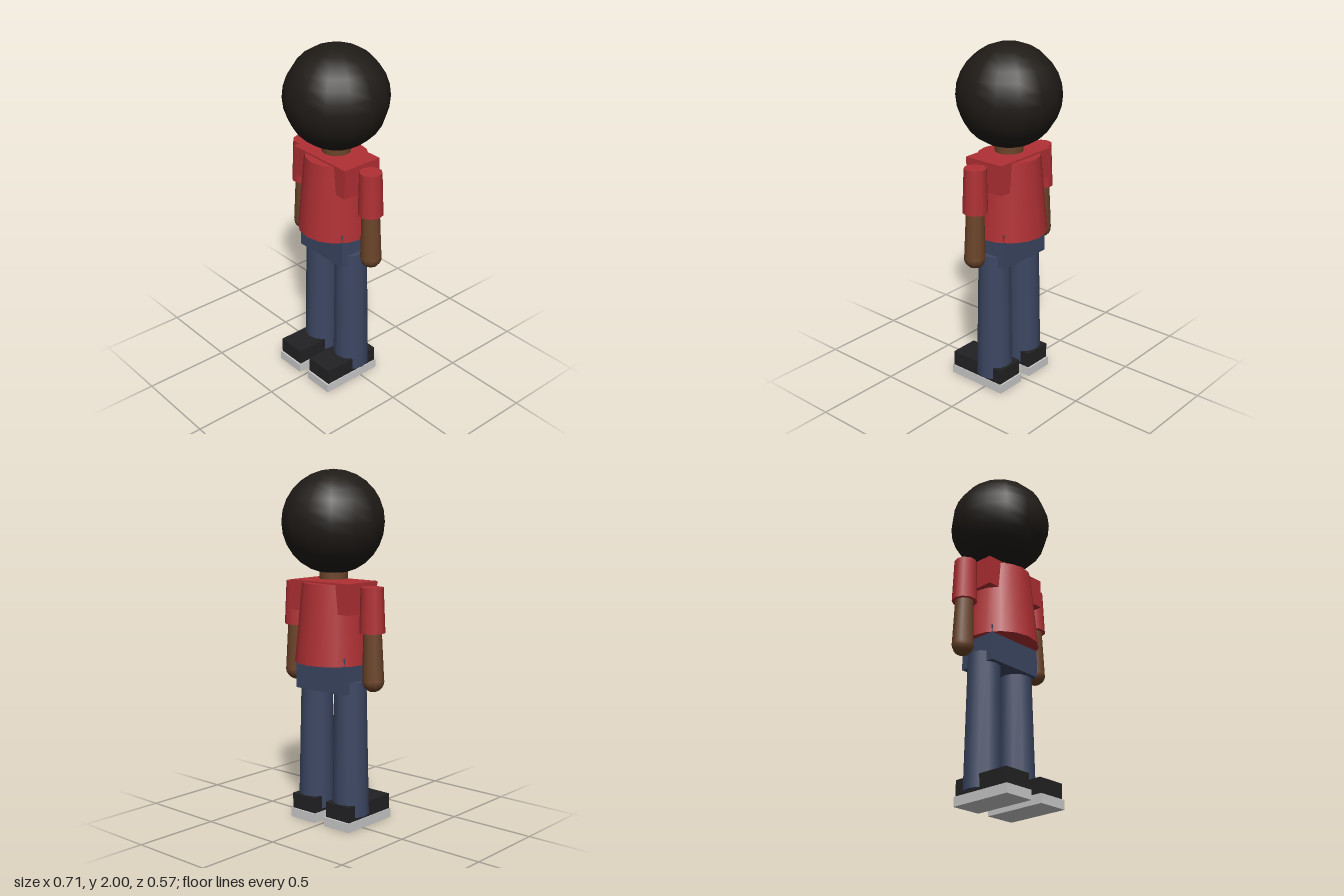
import * as THREE from 'three';

const mat = (color) => new THREE.MeshStandardMaterial({ color });

export function createModel() {
  const model = new THREE.Group();
  model.name = 'figure';

  const hairMat = mat(0x1f1b17);
  const skinMat = mat(0x6b4429);
  const shirtMat = mat(0xb03034);
  const jeansMat = mat(0x3c4763);
  const shoeMat = mat(0x222224);
  const soleMat = mat(0xcccccc);

  function add(name, geometry, material, x = 0, y = 0, z = 0) {
    const mesh = new THREE.Mesh(geometry, material);
    mesh.name = name;
    mesh.position.set(x, y, z);
    model.add(mesh);
    return mesh;
  }

  // box given by its vertical and depth ranges
  function box(name, material, x, width, y0, y1, z0, z1) {
    const g = new THREE.BoxGeometry(width, y1 - y0, z1 - z0);
    return add(name, g, material, x, (y0 + y1) / 2, (z0 + z1) / 2);
  }

  // tapered limb from a top point to a bottom point, with a corner on the x axis
  function limb(name, material, top, bottom, rTop, rBottom, sides) {
    const a = new THREE.Vector3(...top, 0);
    const b = new THREE.Vector3(...bottom, 0);
    const dir = a.clone().sub(b);
    const g = new THREE.CylinderGeometry(rTop, rBottom, dir.length(), sides);
    g.rotateY(Math.PI / 2);
    const mesh = add(name, g, material);
    mesh.position.copy(a.add(b).multiplyScalar(0.5));
    mesh.quaternion.setFromUnitVectors(new THREE.Vector3(0, 1, 0), dir.normalize());
    return mesh;
  }

  // head and neck
  const hair = add('hair', new THREE.SphereGeometry(0.29, 14, 14), hairMat, 0, 1.713, 0);
  hair.scale.y = 0.99;
  limb('neck', skinMat, [0, 1.52], [0, 1.4], 0.08, 0.081, 12);

  // shirt body, shoulder yoke and hips
  limb('shirt', shirtMat, [0, 1.38], [0, 0.935], 0.176, 0.217, 16);
  box('shoulders', shirtMat, 0, 0.424, 1.22, 1.39, -0.125, 0.125);
  box('hips', jeansMat, 0, 0.36, 0.775, 0.98, -0.115, 0.115);

  for (const [side, s] of [['left', 1], ['right', -1]]) {
    // arm
    limb(side + 'Sleeve', shirtMat, [s * 0.278, 1.37], [s * 0.282, 1.12], 0.063, 0.071, 10);
    limb(side + 'Forearm', skinMat, [s * 0.282, 1.16], [s * 0.29, 0.855], 0.05, 0.06, 10);
    add(side + 'Hand', new THREE.SphereGeometry(0.061, 10, 10), skinMat, s * 0.29, 0.855, 0);

    // leg
    limb(side + 'Leg', jeansMat, [s * 0.125, 0.837], [s * 0.131, 0.07], 0.092, 0.105, 12);

    // shoe
    box(side + 'Sole', soleMat, s * 0.128, 0.182, 0, 0.053, -0.123, 0.256);
    box(side + 'Shoe', shoeMat, s * 0.128, 0.172, 0.053, 0.142, -0.113, 0.246);
  }

  return model;
}
